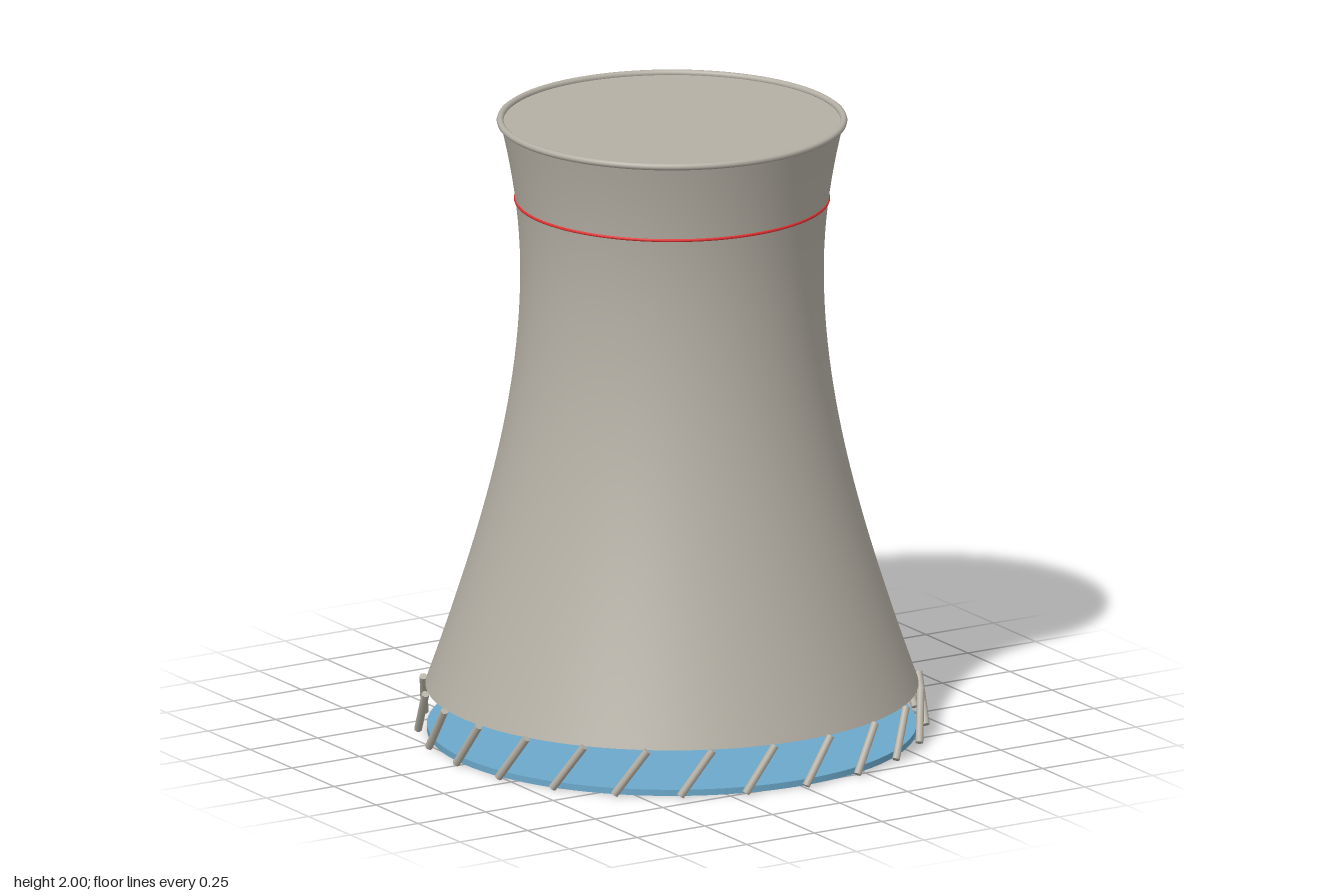
import * as THREE from 'three';

const BASE = 0.15, TOP = 1.99, THROAT_Y = 1.5, THROAT_R = 0.477;

// Hyperbolic radius of the tower shell at height y
function shellRadius(y) {
  const c = y < THROAT_Y ? 1.054 : 0.92;
  return THROAT_R * Math.sqrt(1 + ((y - THROAT_Y) / c) ** 2);
}

export function createModel() {
  const model = new THREE.Group();
  model.name = 'coolingTower';

  const flat = (name, color) => {
    const m = new THREE.MeshStandardMaterial({ color });
    m.name = name;
    return m;
  };
  const concrete = flat('concrete grey', 0xb5b0a5);
  const water = flat('water blue', 0x6ba8ca);
  const red = flat('marking red', 0xe03030);
  const black = flat('ladder black', 0x1c1c1c);

  const add = (name, geometry, material, parent = model) => {
    const mesh = new THREE.Mesh(geometry, material);
    mesh.name = name;
    parent.add(mesh);
    return mesh;
  };

  // Curved shell
  const profile = [];
  for (let i = 0; i <= 40; i++) {
    const y = BASE + (TOP - BASE) * i / 40;
    profile.push(new THREE.Vector2(shellRadius(y), y));
  }
  add('shell', new THREE.LatheGeometry(profile, 96), concrete);

  // Flat closures at the bottom and the mouth, and the rounded lip
  const underside = add('shellUnderside', new THREE.CircleGeometry(shellRadius(BASE), 96), concrete);
  underside.rotation.x = Math.PI / 2;
  underside.position.y = BASE;
  const lid = add('mouthCover', new THREE.CircleGeometry(0.54, 96), concrete);
  lid.rotation.x = -Math.PI / 2;
  lid.position.y = 1.985;
  const lip = add('rim', new THREE.TorusGeometry(0.54, 0.011, 10, 96), concrete);
  lip.rotation.x = Math.PI / 2;
  lip.position.y = 1.989;

  // Warning band
  const band = add('warningBand', new THREE.TorusGeometry(shellRadius(1.735), 0.005, 8, 96), red);
  band.rotation.x = Math.PI / 2;
  band.position.y = 1.735;

  // Water basin
  add('basin', new THREE.CylinderGeometry(0.77, 0.77, 0.02, 96), water).position.y = 0.01;

  // Leaning support columns, all tilted the same way round
  const columns = new THREE.Group();
  columns.name = 'supportColumns';
  model.add(columns);
  const ringPoint = (r, y, a) => new THREE.Vector3(r * Math.sin(a), y, r * Math.cos(a));
  const up = new THREE.Vector3(0, 1, 0);
  for (let i = 0; i < 24; i++) {
    const a = i * Math.PI / 12;
    const foot = ringPoint(0.798, 0.007, a);
    const head = ringPoint(0.785, 0.15, a + Math.PI / 24);
    const dir = head.clone().sub(foot);
    const column = add('column', new THREE.CylinderGeometry(0.0125, 0.0125, dir.length(), 8), concrete, columns);
    column.position.copy(foot).add(head).multiplyScalar(0.5);
    column.quaternion.setFromUnitVectors(up, dir.normalize());
  }

  // Ladder rungs up the +x side
  const ladder = new THREE.Group();
  ladder.name = 'ladder';
  model.add(ladder);
  const rung = new THREE.BoxGeometry(0.012, 0.006, 0.03);
  for (let i = 0; i < 40; i++) {
    const y = 0.18 + i * 1.735 / 39;
    add('rung', rung, black, ladder).position.set(shellRadius(y) + 0.002, y, 0);
  }

  return model;
}
